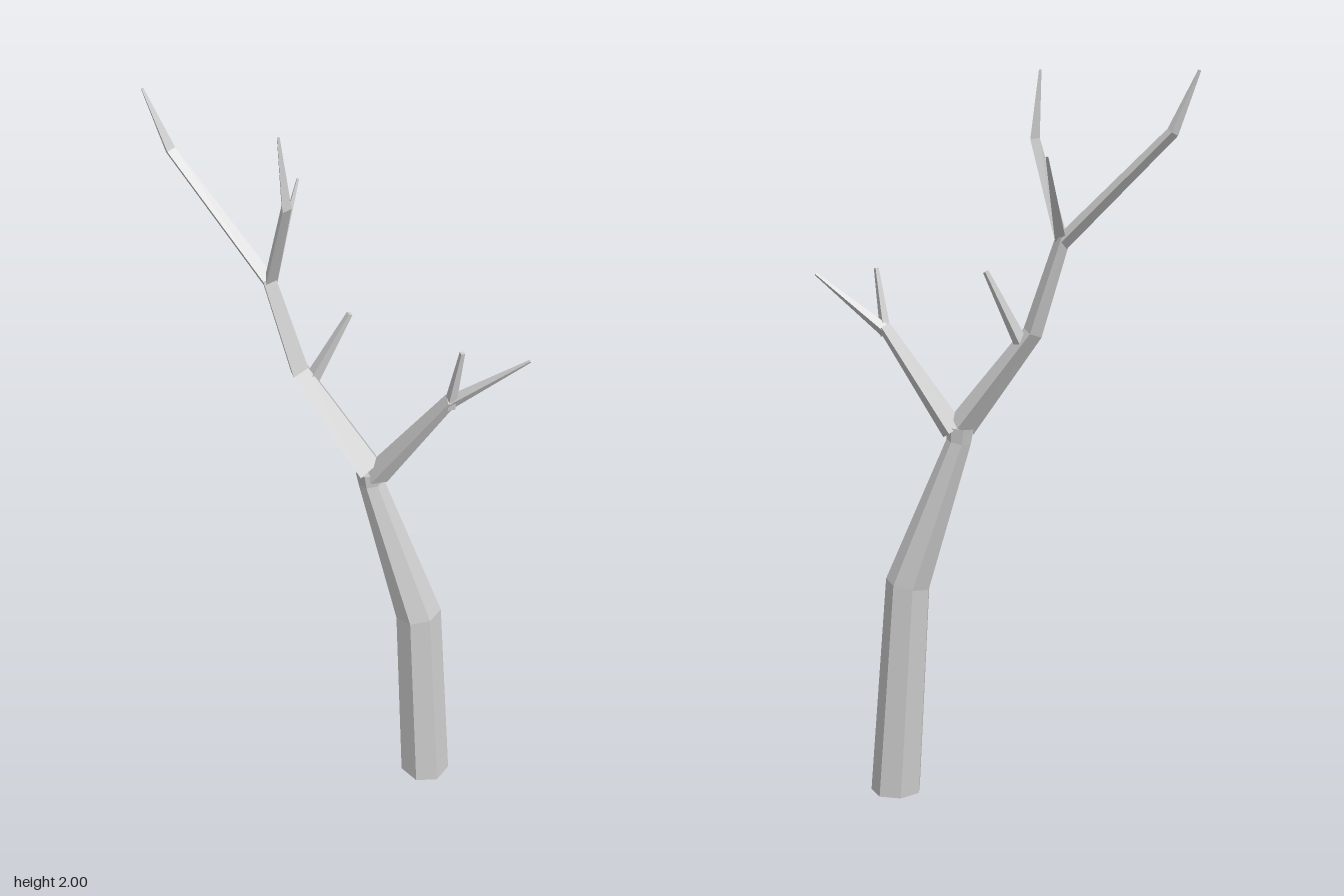
import * as THREE from 'three';

const material = new THREE.MeshStandardMaterial({ color: 0xcccccc, flatShading: true });

// Tapered faceted limb: stations are [x, y, z, radius], rings mitred at bends.
// One corner of each ring points to +z; depth stretches the rings along it.
function limb(name, sides, stations, depth = 1) {
  const centres = stations.map(([x, y, z]) => new THREE.Vector3(x, y, z));
  const last = centres.length - 1;
  const direction = (i) => centres[i + 1].clone().sub(centres[i]).normalize();

  const rings = stations.map(([, y, , r], i) => {
    const t = direction(Math.min(i, last - 1));
    if (i > 0 && i < last) t.add(direction(i - 1)).normalize();
    if (y === 0) t.set(0, 1, 0); // level cut on the ground
    const u = new THREE.Vector3(0, 0, 1);
    u.addScaledVector(t, -t.z).normalize();
    const v = t.clone().cross(u);
    return Array.from({ length: sides }, (_, k) => {
      const a = (k / sides) * Math.PI * 2;
      return centres[i].clone()
        .addScaledVector(u, Math.cos(a) * r * depth)
        .addScaledVector(v, Math.sin(a) * r);
    });
  });

  const corners = [];
  for (let k = 0; k < sides; k++) {
    const n = (k + 1) % sides;
    for (let i = 0; i < last; i++) {
      const a = rings[i], b = rings[i + 1];
      corners.push(a[k], a[n], b[n], a[k], b[n], b[k]);
    }
    corners.push(centres[0], rings[0][n], rings[0][k]);
    corners.push(centres[last], rings[last][k], rings[last][n]);
  }
  const geometry = new THREE.BufferGeometry().setFromPoints(corners);
  geometry.computeVertexNormals();
  const mesh = new THREE.Mesh(geometry, material);
  mesh.name = name;
  return mesh;
}

export function createModel() {
  const tree = new THREE.Group();
  tree.name = 'bareTree';

  tree.add(
    // Trunk, bending towards the fork
    limb('trunk', 7, [
      [0.312, 0, 0.025, 0.072],
      [0.27, 0.61, 0.027, 0.064],
      [0.122, 1.015, 0.022, 0.035],
      [0.118, 1.055, 0.022, 0.04],
    ]),

    // Main limbs of the fork
    limb('mainLimb', 4, [
      [0.113, 1.06, 0.022, 0.039],
      [-0.08, 1.315, 0.022, 0.027],
      [-0.16, 1.565, 0.022, 0.02],
    ], 1.4),
    limb('sideLimb', 4, [
      [0.138, 1.045, 0.022, 0.034],
      [0.326, 1.325, 0.012, 0.018],
    ], 1.5),

    // Twigs on the side limb
    limb('sideTwigUpright', 4, [
      [0.322, 1.3, 0.014, 0.016],
      [0.353, 1.48, 0.035, 0.007],
    ]),
    limb('sideTwigOuter', 4, [
      [0.322, 1.313, 0.01, 0.018],
      [0.508, 1.465, -0.015, 0.004],
    ]),

    // Twig at the bend of the main limb
    limb('bendTwig', 4, [
      [-0.052, 1.285, 0.012, 0.02],
      [0.034, 1.478, -0.034, 0.008],
    ]),

    // Crown branches
    limb('crownBranchOuter', 4, [
      [-0.155, 1.55, 0.02, 0.021],
      [-0.447, 1.83, -0.043, 0.016],
      [-0.51, 1.98, -0.038, 0.004],
    ]),
    limb('crownBranchFront', 3, [
      [-0.16, 1.55, 0.022, 0.02],
      [-0.067, 1.82, 0.12, 0.015],
      [-0.077, 2, 0.13, 0.004],
    ]),
    limb('crownTwigBack', 3, [
      [-0.155, 1.56, 0.02, 0.017],
      [-0.145, 1.77, -0.13, 0.004],
    ]),
  );
  return tree;
}
